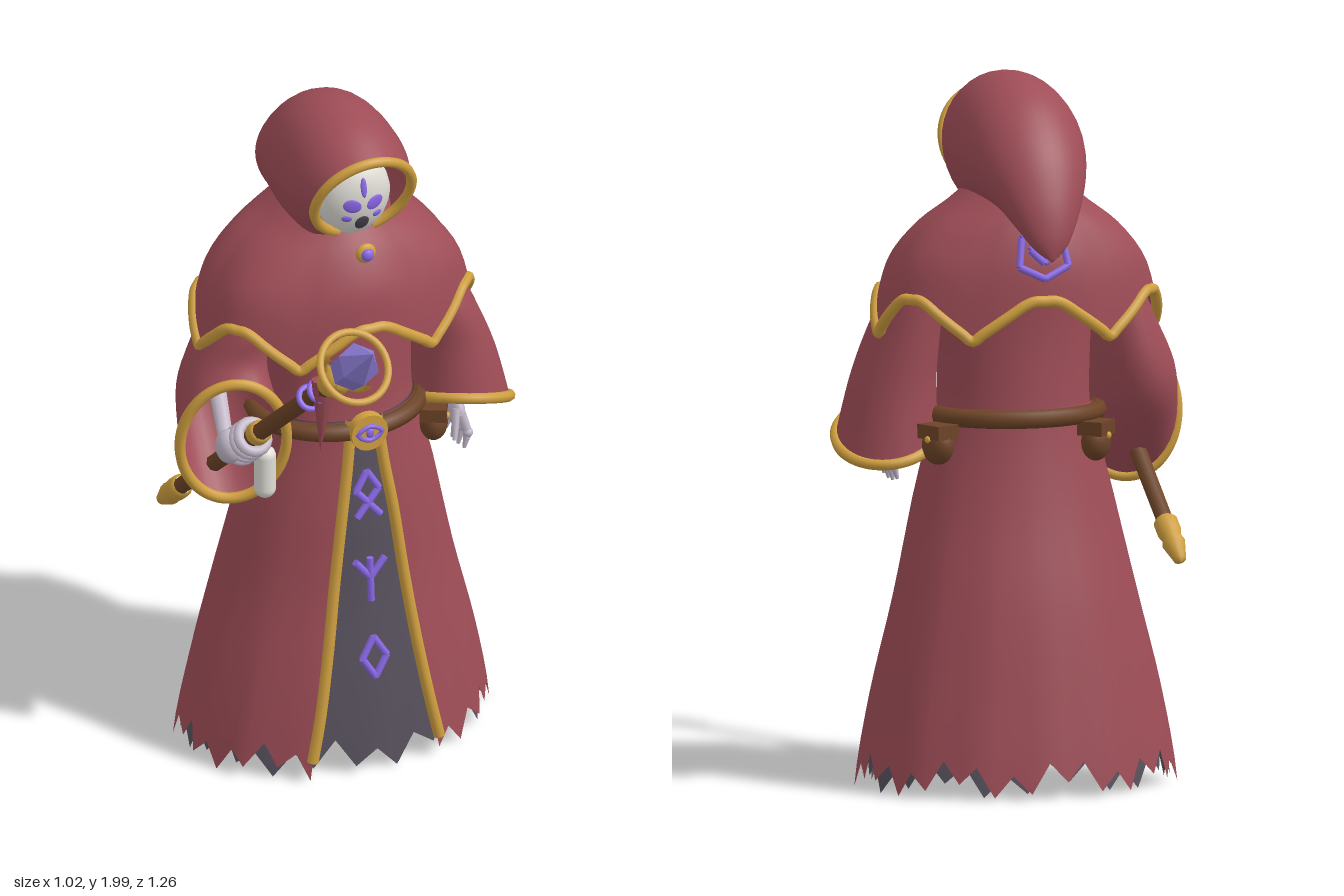
import * as THREE from 'three';
import { mergeVertices } from 'three/addons/utils/BufferGeometryUtils.js';

const V = (x, y, z) => new THREE.Vector3(x, y, z);
const mat = (name, color, side = THREE.FrontSide) => {
  const m = new THREE.MeshStandardMaterial({ color, side });
  m.name = name;
  return m;
};

// Smooth interpolation through evenly spaced rows of numbers
function sample(rows, t) {
  const n = rows.length - 1, f = Math.min(Math.max(t, 0), 1) * n;
  const i = Math.min(Math.floor(f), n - 1), k = f - i;
  const at = (j) => rows[Math.min(Math.max(j, 0), n)];
  return rows[0].map((_, c) => {
    const a = at(i - 1)[c], b = at(i)[c], d = at(i + 1)[c], e = at(i + 2)[c];
    return b + 0.5 * k * (d - a + k * (2 * a - 5 * b + 4 * d - e + k * (3 * (b - d) + e - a)));
  });
}

// Smooth surface from a rule fn(u, v, columnIndex)
function surface(nu, nv, fn) {
  const pos = [], idx = [];
  for (let j = 0; j <= nv; j++) for (let i = 0; i <= nu; i++) pos.push(...fn(i / nu, j / nv, i).toArray());
  for (let j = 0; j < nv; j++) for (let i = 0; i < nu; i++) {
    const a = j * (nu + 1) + i, b = a + 1, c = a + nu + 1, d = c + 1;
    idx.push(a, b, d, a, d, c);
  }
  let g = new THREE.BufferGeometry();
  g.setAttribute('position', new THREE.Float32BufferAttribute(pos, 3));
  g.setIndex(idx);
  g = mergeVertices(g, 1e-5);
  g.computeVertexNormals();
  return g;
}

export function createModel() {
  const root = new THREE.Group();
  const red = mat('red cloth', 0x9f4d57, THREE.DoubleSide), gray = mat('dark lining', 0x57515d, THREE.DoubleSide);
  const gold = mat('gold', 0xd0a040), wood = mat('brown wood and leather', 0x6d4427);
  const purple = mat('purple glow', 0x8a68e6), crystalMat = mat('crystal', 0x8c7cd4);
  const bone = mat('bone', 0xc4b9ca), white = mat('mask white', 0xe2dfd8), dark = mat('dark', 0x4a4450);
  const TAU = Math.PI * 2;

  const add = (name, geo, m, p = [0, 0, 0], parent = root) => {
    const o = new THREE.Mesh(geo, m);
    o.name = name;
    o.position.set(...p);
    parent.add(o);
    return o;
  };
  const tube = (name, pts, r, m, closed = false, parent = root) =>
    add(name, new THREE.TubeGeometry(new THREE.CatmullRomCurve3(pts, closed), pts.length * 3, r, 8, closed), m, [0, 0, 0], parent);
  const rod = (name, a, b, r0, r1, m, parent = root) => {
    const d = b.clone().sub(a);
    const o = add(name, new THREE.CylinderGeometry(r1, r0, d.length(), 8), m, a.clone().add(b).multiplyScalar(0.5).toArray(), parent);
    o.quaternion.setFromUnitVectors(V(0, 1, 0), d.normalize());
    return o;
  };
  const strokes = (name, p) => {
    for (let i = 1; i < p.length; i++) rod(name, p[i - 1], p[i], 0.0105, 0.0105, purple);
  };
  const ball = (name, m, p, s, parent = root) => {
    const o = add(name, new THREE.SphereGeometry(1, 20, 14), m, p, parent);
    o.scale.set(...s);
    return o;
  };
  const loop = (n, fn) => Array.from({ length: n }, (_, i) => fn((i / n) * TAU));

  // Skirt: rows at even heights of [rx, rz, centre z, half width of the front opening]
  const skirtRows = [[0.455, 0.335, -0.28, 0.195], [0.41, 0.305, -0.275, 0.148], [0.345, 0.265, -0.27, 0.11],
    [0.285, 0.225, -0.25, 0.075], [0.225, 0.19, -0.245, 0.038]];
  const skirtTop = 1.08, liningScale = 0.96;
  const skirt = (y, th, s = 1) => {
    const [rx, rz, cz] = sample(skirtRows, y / skirtTop);
    const f = s * (1 + 0.014 * (1 - y / skirtTop) * Math.cos(14 * th));
    return V(rx * f * Math.sin(th), y, cz + rz * f * Math.cos(th));
  };
  const gap = (y) => { const r = sample(skirtRows, y / skirtTop); return Math.asin(r[3] / r[0]); };
  const rag = (i, n) => (i % 2 ? 0.095 : 0.03) + 0.022 * Math.sin((i % n) * 5.3);
  add('robeSkirt', surface(46, 16, (u, v, i) => {
    const y = THREE.MathUtils.lerp(rag(i, 47), skirtTop, v), g = gap(y);
    return skirt(y, g + u * (TAU - 2 * g));
  }), red);
  add('robeLining', surface(44, 14, (u, v, i) =>
    skirt(THREE.MathUtils.lerp(rag(i + 1, 44), skirtTop, v), u * TAU, liningScale)), gray);
  for (const s of [1, -1]) {
    tube('openingTrim', [1.09, 0.95, 0.8, 0.6, 0.4, 0.2, 0.07].map((y) => skirt(y, s * gap(y), 1.02)), 0.017, gold);
  }

  // Torso
  const torso = [[1.02, 0.225, 0.19, -0.245], [1.12, 0.215, 0.18, -0.25], [1.3, 0.22, 0.175, -0.255], [1.5, 0.23, 0.18, -0.27]];
  const ellipse = (rows, u, v) => {
    const [y, rx, rz, cz] = sample(rows, v);
    return V(rx * Math.sin(u * TAU), y, cz + rz * Math.cos(u * TAU));
  };
  add('torso', surface(40, 10, (u, v) => ellipse(torso, u, v)), red);

  // Shoulder cape with a six pointed hem
  const capeRows = [[1.4, 0.4, 0.278, -0.28], [1.5, 0.365, 0.266, -0.283], [1.59, 0.285, 0.23, -0.29],
    [1.66, 0.185, 0.185, -0.295], [1.74, 0.1, 0.12, -0.29]];
  const cape = (u, v) => {
    const p = ellipse(capeRows, u, v), k = (u * 6) % 1;
    p.y -= 0.11 * Math.max(0, 1 - 1.25 * Math.abs(2 * k - 1)) * (1 - v) ** 3;
    return p;
  };
  add('shoulderCape', surface(84, 14, cape), red);
  tube('capeTrim', loop(84, (a) => cape(a / TAU, 0)), 0.016, gold, true);

  // Sigil lying on the back of the cape
  const onCape = (n, r) => Array.from({ length: n + 1 }, (_, i) => {
    const a = (i / n) * TAU, p = cape(0.5 + r * 0.45 * Math.sin(a), 0.36 + r * 2.5 * Math.cos(a));
    return p.add(V(0, 0.003, -0.004));
  });
  strokes('backSigilOuter', onCape(6, 0.08));
  strokes('backSigilInner', onCape(4, 0.04));

  // Hood: rows of [top z, top y, bottom z, bottom y, half width]
  const hoodRows = [[0, 1.93, -0.12, 1.655, 0.145], [-0.12, 1.99, -0.16, 1.6, 0.172], [-0.28, 2, -0.24, 1.58, 0.178],
    [-0.42, 1.95, -0.33, 1.6, 0.17], [-0.54, 1.83, -0.43, 1.62, 0.14], [-0.605, 1.7, -0.53, 1.58, 0.095],
    [-0.632, 1.59, -0.59, 1.54, 0.05], [-0.628, 1.52, -0.628, 1.52, 0.001]];
  const hood = (u, v) => {
    const [tz, ty, bz, by, rx] = sample(hoodRows, v), c = Math.cos(u * TAU), s = Math.sin(u * TAU);
    return V(rx * s, (ty + by) / 2 + ((ty - by) / 2) * c, (tz + bz) / 2 + ((tz - bz) / 2) * c);
  };
  add('hood', surface(36, 28, hood), red);
  // Trim arches over the opening and stops beside the chin
  tube('hoodTrim', Array.from({ length: 31 }, (_, i) => hood((i / 30 - 0.5) * 0.88, 0)), 0.015, gold);

  // Mask with thin marks laid on its surface
  const mask = new THREE.Group();
  mask.name = 'mask';
  mask.position.set(0, 1.768, -0.128);
  mask.rotation.x = 0.15;
  root.add(mask);
  const [mx, my, mz] = [0.107, 0.128, 0.075];
  ball('maskFace', white, [0, 0, 0], [mx, my, mz], mask);
  const mark = (name, m, x, y, w, h, turn = 0) => {
    const z = mz * Math.sqrt(1 - (x / mx) ** 2 - (y / my) ** 2);
    const o = ball(name, m, [x, y, z], [w, h, 0.0049], mask);
    o.quaternion.setFromUnitVectors(V(0, 0, 1), V(x / mx ** 2, y / my ** 2, z / mz ** 2).normalize());
    o.rotateZ(turn);
  };
  mark('browMark', purple, 0, 0.066, 0.009, 0.03);
  mark('noseMark', dark, 0, -0.052, 0.021, 0.026);
  for (const s of [1, -1]) {
    mark('eye', purple, s * 0.034, 0.013, 0.027, 0.021, s * 0.35);
    mark('cheekMark', purple, s * 0.046, -0.032, 0.015, 0.011);
  }

  // Brooch
  ball('broochSetting', gold, [0, 1.622, -0.04], [0.03, 0.03, 0.014]);
  ball('broochGem', purple, [0, 1.622, -0.028], [0.019, 0.019, 0.014]);

  // Sleeves: rows of ring centre, side axis and front axis
  const ring = (rows, u, v) => {
    const r = sample(rows, v), c = Math.cos(u * TAU), s = Math.sin(u * TAU);
    return V(...[0, 1, 2].map((k) => r[k] + r[k + 3] * c + r[k + 6] * s));
  };
  const sleeves = {
    leftSleeve: [[0.26, 1.47, -0.26, 0.07, 0, 0, 0, 0, 0.09], [0.295, 1.34, -0.225, 0.09, 0, 0, 0, 0.01, 0.125],
      [0.335, 1.17, -0.215, 0.117, -0.01, 0, 0, 0.04, 0.132], [0.355, 1, -0.21, 0.142, -0.03, 0, 0, 0.065, 0.15]],
    rightSleeve: [[-0.26, 1.47, -0.27, 0.07, 0, 0, 0, 0, 0.09], [-0.295, 1.34, -0.28, 0.09, 0, 0.01, 0, 0.02, 0.125],
      [-0.335, 1.18, -0.275, 0.117, 0, 0.03, 0, 0.1, 0.115], [-0.35, 1.035, -0.16, 0.14, 0, 0.05, 0, 0.192, 0.02]],
  };
  for (const [name, rows] of Object.entries(sleeves)) {
    add(name, surface(32, 18, (u, v) => ring(rows, u, v)), red);
    tube(name + 'Trim', loop(32, (a) => ring(rows, a / TAU, 1)), 0.016, gold, true);
  }

  // Belt, buckle and pouches
  tube('belt', loop(36, (a) => V(0.238 * Math.sin(a), 1.055, -0.25 + 0.205 * Math.cos(a))), 0.026, wood, true);
  add('buckle', new THREE.CylinderGeometry(0.055, 0.055, 0.03, 24).rotateX(Math.PI / 2), gold, [0, 1.06, -0.026]);
  tube('buckleEye', [[-0.037, 0], [0, 0.022], [0.037, 0], [0, -0.022]].map(([x, y]) => V(x, 1.06 + y, -0.01)), 0.007, purple, true);
  ball('bucklePupil', purple, [0, 1.06, -0.01], [0.012, 0.014, 0.006]);
  for (const [x, z] of [[0.245, -0.13], [0.255, -0.37], [-0.19, -0.42]]) {
    const pouch = new THREE.Group();
    pouch.name = 'pouch';
    pouch.position.set(x, 0.99, z);
    pouch.rotation.y = Math.atan2(x, z + 0.25);
    root.add(pouch);
    ball('pouchBag', wood, [0, -0.01, 0], [0.05, 0.054, 0.04], pouch);
    add('pouchFlap', new THREE.BoxGeometry(0.09, 0.04, 0.075), wood, [0, 0.03, 0], pouch);
    ball('pouchStud', gold, [0, 0.01, 0.039], [0.01, 0.01, 0.007], pouch);
  }
  // Small white flask hanging at the belt
  add('flask', new THREE.CapsuleGeometry(0.031, 0.1, 6, 16), white, [-0.28, 0.955, -0.1]);

  // Runes on the front panel
  const rune = (name, pts) => strokes(name, pts.map(([x, y]) => skirt(y, 0, liningScale).add(V(x, 0, 0.011))));
  rune('lowerRune', [[0, 0.42], [0.037, 0.36], [0, 0.3], [-0.037, 0.36], [0, 0.42]]);
  rune('middleRune', [[0, 0.53], [0, 0.66]]);
  rune('middleRune', [[-0.045, 0.655], [0, 0.6], [0.045, 0.655]]);
  rune('upperRune', [[-0.035, 0.79], [0.034, 0.87], [0, 0.925], [-0.034, 0.87], [0.035, 0.79]]);

  // Staff, built along its own y axis from the butt
  const butt = V(-0.395, 0.65, -0.56), tip = V(-0.27, 1.71, 0.63), len = butt.distanceTo(tip);
  const staff = new THREE.Group();
  staff.name = 'staff';
  staff.position.copy(butt);
  staff.quaternion.setFromUnitVectors(V(0, 1, 0), tip.clone().sub(butt).normalize());
  root.add(staff);
  const lathe = (name, pts, m, n = 16) => add(name, new THREE.LatheGeometry(pts.map((p) => new THREE.Vector2(...p)), n), m, [0, 0, 0], staff);
  rod('shaft', V(0, 0.1, 0), V(0, 1.32, 0), 0.025, 0.027, wood, staff);
  lathe('buttCap', [[0, 0], [0.018, 0.01], [0.033, 0.07], [0.028, 0.09], [0.034, 0.11], [0.034, 0.15], [0.025, 0.16]], gold);
  lathe('gripCollar', [[0.025, 0.715], [0.034, 0.72], [0.034, 0.75], [0.025, 0.755]], gold);
  lathe('headCollar', [[0.026, 1.25], [0.036, 1.265], [0.047, 1.3], [0.044, 1.335], [0.03, 1.36], [0, 1.37]], gold);
  for (const y of [1.12, 1.2]) add('staffBand', new THREE.TorusGeometry(0.032, 0.009, 8, 20).rotateX(Math.PI / 2), purple, [0, y, 0], staff);
  add('headRing', new THREE.TorusGeometry(0.102, 0.011, 8, 36).rotateX(Math.PI / 2), gold, [0, 1.456, 0], staff);
  for (let k = 0; k < 4; k++) {
    const a = (k * TAU) / 4 + 0.78, c = Math.cos(a), s = Math.sin(a);
    tube('headClaw', [[0.03, 1.32], [0.058, 1.355], [0.068, 1.39], [0.062, 1.43]].map(([r, y]) => V(r * c, y, r * s)), 0.012, gold, false, staff);
  }
  const crystal = lathe('crystal', [[0, 1.34], [0.056, 1.41], [0.062, 1.49], [0, len]], crystalMat, 6);
  crystal.geometry = crystal.geometry.toNonIndexed();
  crystal.geometry.computeVertexNormals();
  const ribbon = add('staffRibbon', new THREE.ConeGeometry(0.042, 0.25, 6).rotateX(Math.PI), red, [-0.3, 1.375, 0.345]);
  ribbon.scale.z = 0.5;
  ribbon.rotation.x = 0.12;

  // Right hand wrapped round the staff
  for (let k = 0; k < 4; k++) {
    add('gripFinger', new THREE.TorusGeometry(0.043, 0.016, 8, 18).rotateX(Math.PI / 2), bone, [0, 0.595 + k * 0.032, 0], staff);
  }
  ball('rightPalm', bone, [-0.39, 1.06, -0.1], [0.037, 0.05, 0.045]);
  rod('rightForearm', V(-0.38, 1.05, -0.14), V(-0.345, 1.13, -0.28), 0.022, 0.026, bone);

  // Left hand hanging open
  rod('leftForearm', V(0.34, 1.2, -0.22), V(0.335, 1, -0.195), 0.026, 0.022, bone);
  ball('leftPalm', bone, [0.335, 0.97, -0.195], [0.024, 0.05, 0.058]);
  for (let k = 0; k < 4; k++) {
    const z = -0.145 - k * 0.034, mid = V(0.35, 0.92, z + 0.012 - k * 0.006);
    const end = V(0.338, 0.862 + Math.abs(k - 1.5) * 0.008, z + 0.015 - k * 0.008);
    rod('leftFinger', V(0.335, 0.975, z), mid, 0.015, 0.013, bone);
    ball('leftKnuckle', bone, mid.toArray(), [0.015, 0.015, 0.015]);
    rod('leftFingertip', mid, end, 0.013, 0.005, bone);
  }
  rod('leftThumb', V(0.325, 0.99, -0.155), V(0.305, 0.91, -0.12), 0.014, 0.007, bone);

  return root;
}
